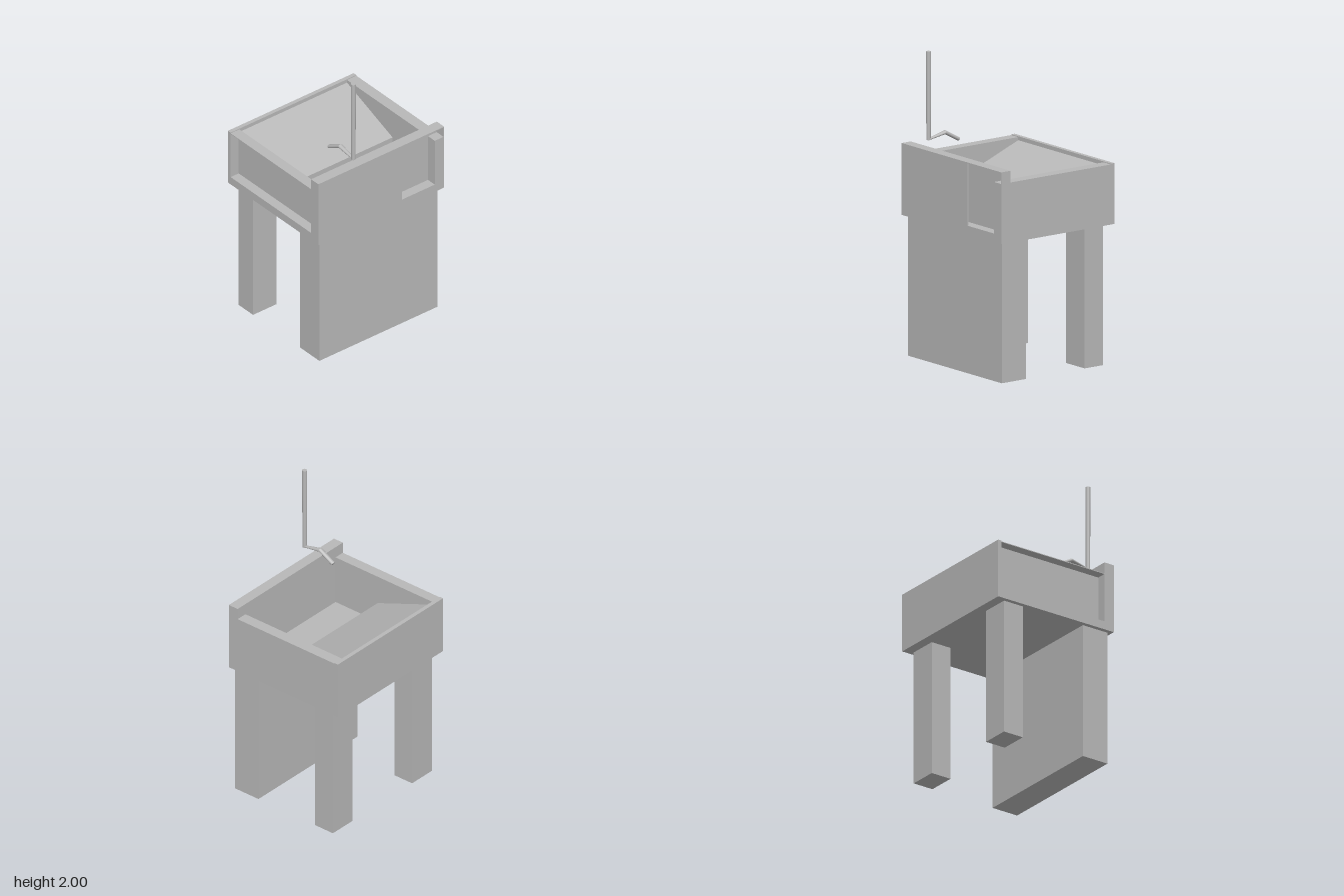
import * as THREE from 'three';

export function createModel() {
  const group = new THREE.Group();
  const stone = new THREE.MeshStandardMaterial({ color: 0xb8b8b8 });
  stone.name = 'grey stone';

  const add = (name, geometry) => {
    const mesh = new THREE.Mesh(geometry, stone);
    mesh.name = name;
    group.add(mesh);
    return mesh;
  };
  // Box given by its limits on each axis
  const box = (name, [x0, x1], [y0, y1], [z0, z1]) =>
    add(name, new THREE.BoxGeometry(x1 - x0, y1 - y0, z1 - z0))
      .position.set((x0 + x1) / 2, (y0 + y1) / 2, (z0 + z1) / 2);

  const W = 0.505, FRONT = 0.437, BACK = -0.457, T = 0.005;
  const RIM = 1.285, SPLASH = 1.36, FLOOR = 0.955;

  // Supports: a broad front slab and two back legs
  box('frontSupport', [-0.475, 0.475], [0, 0.9], [0.22, 0.41]);
  for (const [a, b] of [[-0.475, -0.285], [0.285, 0.475]])
    box('backLeg', [a, b], [0, 0.9], [-0.39, -0.245]);

  // Basin floor and the solid walls
  box('basinFloor', [-W, W], [0.9, FLOOR], [BACK, FRONT]);
  box('backWall', [-W, W], [FLOOR, 1.29], [BACK, -0.43]);
  box('leftWall', [0.43, W], [FLOOR, RIM], [-0.43, FRONT]);

  // Right wall, open on its outer side
  box('rightWallInner', [-0.435 - T, -0.435], [FLOOR, RIM], [-0.43, 0.365]);
  box('rightWallTop', [-W, -0.435], [RIM - T, RIM], [-0.43, 0.365]);

  // Splash wall: hollow, its front panel stops short and leaves a niche
  box('splashInner', [-W, W], [FLOOR, SPLASH], [0.365, 0.365 + T]);
  box('splashTop', [-W, W], [SPLASH - T, SPLASH], [0.365, FRONT]);
  box('splashFront', [-W, 0.165], [FLOOR, SPLASH], [FRONT - T, FRONT]);
  box('splashRightEnd', [-W, -W + T], [FLOOR, SPLASH], [0.365, FRONT]);
  box('splashLeftEnd', [W - T, W], [RIM, SPLASH], [0.365, FRONT]);

  // Sloping washboard; the profile is drawn in (-z, y) and extruded along x
  const profile = new THREE.Shape([
    [-0.02, FLOOR], [0.43, FLOOR], [0.43, 1.265], [-0.02, 1.09],
  ].map(([x, y]) => new THREE.Vector2(x, y)));
  const board = add('washboard',
    new THREE.ExtrudeGeometry(profile, { depth: 0.865, bevelEnabled: false }));
  board.rotation.y = Math.PI / 2;
  board.position.x = -0.435;

  // Drain plate
  box('drain', [0.075, 0.3], [FLOOR, FLOOR + 0.008], [0.02, 0.125]);

  // Tap: upright pipe and a bent spout pinched where it joins
  const rod = (name, from, to, r0, r1, flat = 1) => {
    const a = new THREE.Vector3(...from), b = new THREE.Vector3(...to);
    const dir = b.clone().sub(a);
    const mesh = add(name, new THREE.CylinderGeometry(r1, r0, dir.length(), 12));
    mesh.position.copy(a).add(b).multiplyScalar(0.5);
    mesh.quaternion.setFromUnitVectors(new THREE.Vector3(0, 1, 0), dir.normalize());
    mesh.scale.z = flat;
  };
  const X = -0.227;
  rod('tapPipe', [X, 1.433, 0.441], [X, 2, 0.441], 0.014, 0.016);
  rod('spoutArm', [X, 1.438, 0.435], [X, 1.463, 0.31], 0.01, 0.017, 0.7);
  rod('spoutTip', [X, 1.465, 0.315], [X, 1.405, 0.205], 0.016, 0.016, 0.75);

  return group;
}
